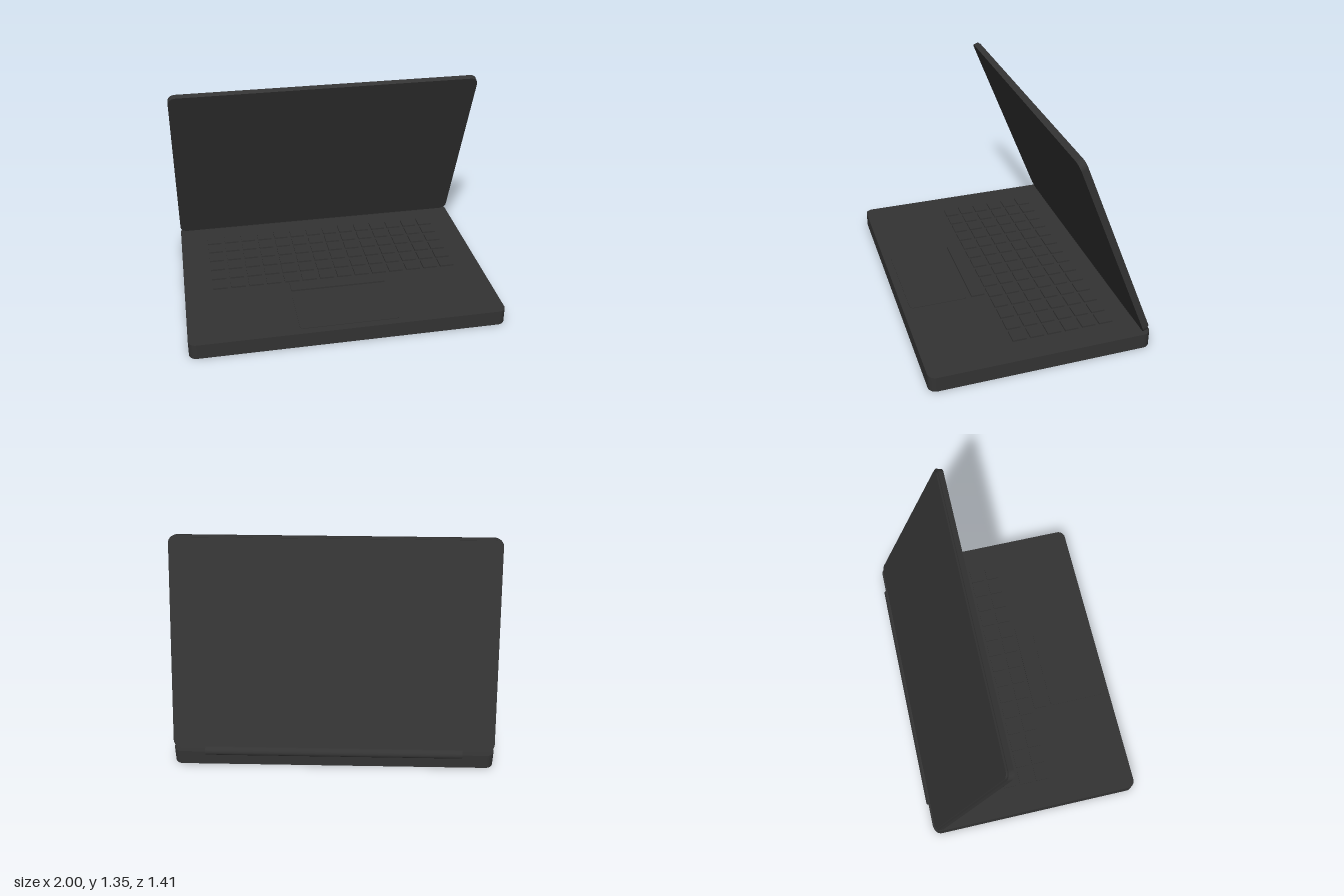
import * as THREE from 'three';

const charcoal = new THREE.MeshStandardMaterial({ color: 0x333333 });
charcoal.name = 'charcoal';

// Rounded rectangle slab, centred in x and y, extruded from z = 0 to depth
function slab(name, width, height, radius, depth) {
  const w = width / 2, h = height / 2, r = radius;
  const s = new THREE.Shape();
  s.absarc(w - r, h - r, r, 0, Math.PI / 2);
  s.absarc(r - w, h - r, r, Math.PI / 2, Math.PI);
  s.absarc(r - w, r - h, r, Math.PI, Math.PI * 1.5);
  s.absarc(w - r, r - h, r, Math.PI * 1.5, Math.PI * 2);
  const geo = new THREE.ExtrudeGeometry(s, { depth, bevelEnabled: false, curveSegments: 8 });
  const mesh = new THREE.Mesh(geo, charcoal);
  mesh.name = name;
  return mesh;
}

// The same slab lying flat with its underside at y
function flatSlab(name, width, length, radius, depth, x, y, z) {
  const mesh = slab(name, width, length, radius, depth);
  mesh.rotation.x = -Math.PI / 2;
  mesh.position.set(x, y, z);
  return mesh;
}

export function createModel() {
  const laptop = new THREE.Group();
  laptop.name = 'laptop';

  // Base and trackpad
  laptop.add(flatSlab('base', 2, 1.402, 0.05, 0.1, 0, 0, 0.006));
  laptop.add(flatSlab('trackpad', 0.63, 0.375, 0.025, 0.004, 0, 0.1, 0.472));

  // Keyboard: six rows of fourteen keys and a space bar
  const keyboard = new THREE.Group();
  keyboard.name = 'keyboard';
  const addKey = (name, width, x, z) => {
    const key = new THREE.Mesh(new THREE.BoxGeometry(width, 0.022, 0.088), charcoal);
    key.name = name;
    key.position.set(x, 0.1, z);
    keyboard.add(key);
  };
  for (let row = 0; row < 6; row++) {
    for (let col = 0; col < 14; col++) {
      addKey('key', 0.095, -0.767 + col * 0.1188, 0.099 - row * 0.1128);
    }
  }
  addKey('spaceBar', 0.625, 0, 0.209);
  laptop.add(keyboard);

  // Hinge barrel along the back edge
  const hinge = new THREE.Mesh(new THREE.CylinderGeometry(0.032, 0.032, 1.6, 24), charcoal);
  hinge.name = 'hinge';
  hinge.rotation.z = Math.PI / 2;
  hinge.position.set(0, 0.1, -0.676);
  laptop.add(hinge);

  // Lid leaning forward over the base, with a slightly inset back cover
  const lid = new THREE.Group();
  lid.name = 'lid';
  const height = 1.333;
  const panel = slab('screenPanel', 2, height, 0.05, 0.035);
  panel.position.set(0, height / 2, -0.0125);
  const cover = slab('backCover', 1.974, height - 0.026, 0.04, 0.011);
  cover.position.set(0, height / 2, -0.0225);
  lid.add(panel, cover);
  lid.rotation.x = 0.38;
  lid.position.set(0, 0.111, -0.666);
  laptop.add(lid);

  return laptop;
}
